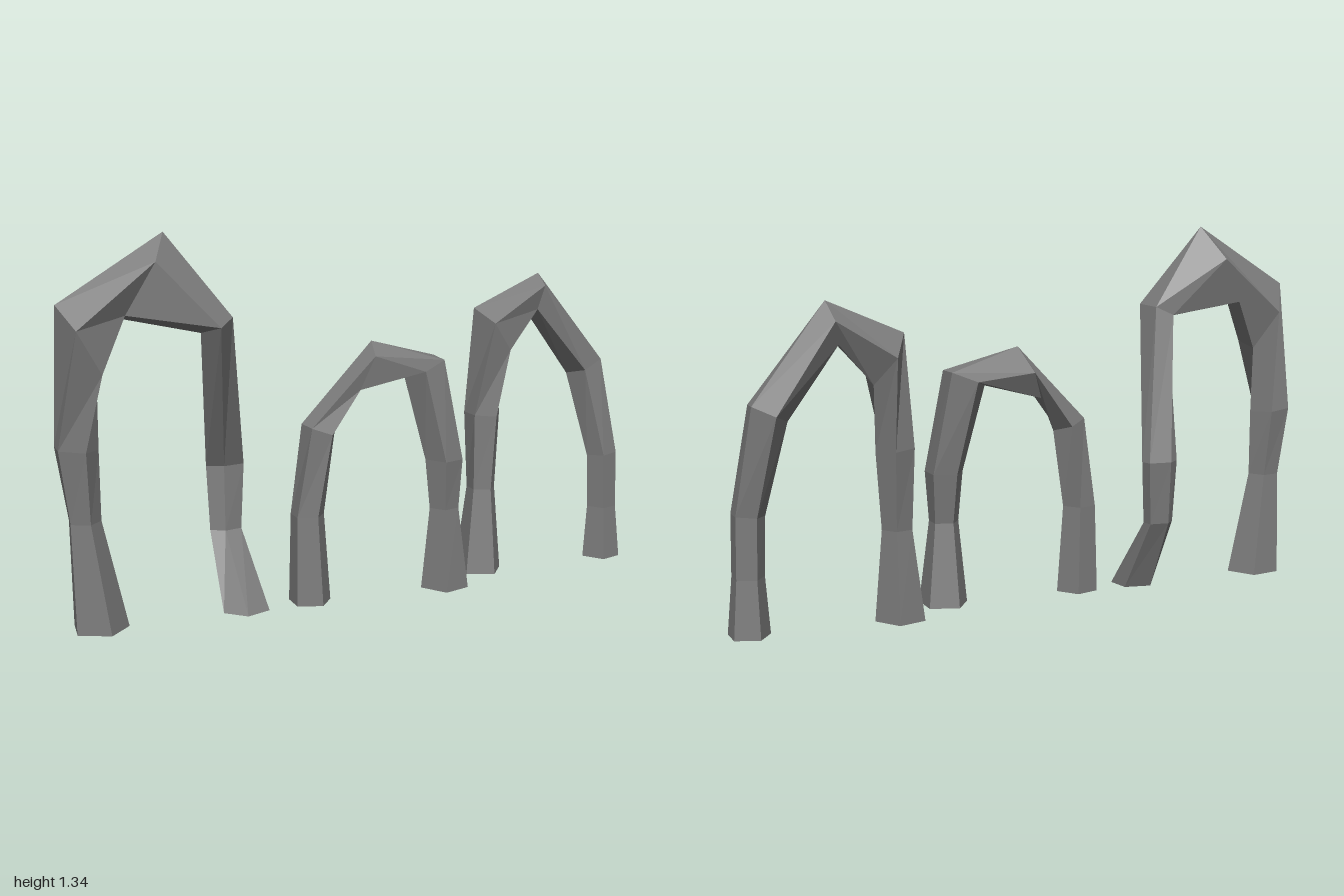
import * as THREE from 'three';

const SIDES = 5;
const material = new THREE.MeshStandardMaterial({ color: 0x7c7c7c, flatShading: true, side: THREE.DoubleSide });

// Sweep a five-sided section through a list of rings, open at both feet.
// Ring: [x, y, z, width radius, depth radius, lean, roll], angles in degrees.
// Lean 0 is the first leg, 90 the crown, 180 the second leg.
function makeArch(name, rings) {
  const first = rings[0], last = rings[rings.length - 1];
  const along = new THREE.Vector3(last[0] - first[0], 0, last[2] - first[2]).normalize();
  const across = new THREE.Vector3(-along.z, 0, along.x);
  const up = new THREE.Vector3(0, 1, 0);

  const positions = [];
  for (const [x, y, z, w, h, lean, roll] of rings) {
    const phi = THREE.MathUtils.degToRad(lean);
    const out = along.clone().multiplyScalar(-Math.cos(phi)).addScaledVector(up, Math.sin(phi));
    for (let k = 0; k < SIDES; k++) {
      const a = THREE.MathUtils.degToRad(roll) + (k / SIDES) * Math.PI * 2;
      const p = new THREE.Vector3(x, y, z)
        .addScaledVector(out, Math.cos(a) * h)
        .addScaledVector(across, Math.sin(a) * w);
      positions.push(p.x, p.y, p.z);
    }
  }

  // Walls between neighbouring rings
  const index = [];
  for (let i = 0; i < rings.length - 1; i++) {
    for (let k = 0; k < SIDES; k++) {
      const a = i * SIDES + k, b = i * SIDES + (k + 1) % SIDES;
      index.push(a, b, b + SIDES, a, b + SIDES, a + SIDES);
    }
  }

  const indexed = new THREE.BufferGeometry();
  indexed.setAttribute('position', new THREE.Float32BufferAttribute(positions, 3));
  indexed.setIndex(index);
  const geometry = indexed.toNonIndexed();
  geometry.computeVertexNormals();
  const mesh = new THREE.Mesh(geometry, material);
  mesh.name = name;
  return mesh;
}

export function createModel() {
  const group = new THREE.Group();
  group.name = 'rockArches';

  // Tall front arch with a pointed crown and a kinked second leg
  group.add(makeArch('frontArch', [
    [-0.495, 0, 0.835, 0.1, 0.1, 0, 28],
    [-0.515, 0.38, 0.875, 0.058, 0.058, 0, 28],
    [-0.525, 0.63, 0.895, 0.078, 0.078, 5, 32],
    [-0.485, 0.985, 0.90, 0.108, 0.15, 60, 65],
    [-0.395, 1.185, 0.705, 0.088, 0.175, 120, 66],
    [-0.235, 1.025, 0.51, 0.09, 0.062, 155, 25],
    [-0.358, 0.49, 0.312, 0.035, 0.073, 180, 30],
    [-0.345, 0.26, 0.33, 0.035, 0.06, 180, 30],
    [-0.205, 0, 0.40, 0.078, 0.085, 180, 30],
  ]));

  // Low middle arch
  group.add(makeArch('middleArch', [
    [-0.075, 0, 0.195, 0.078, 0.078, 0, 36],
    [-0.08, 0.32, 0.2, 0.062, 0.062, 0, 36],
    [-0.047, 0.625, 0.172, 0.068, 0.065, 20, 45],
    [0.025, 0.825, 0.01, 0.082, 0.11, 115, 57],
    [0.14, 0.82, -0.22, 0.095, 0.08, 158, 40],
    [0.217, 0.48, -0.237, 0.08, 0.07, 180, 36],
    [0.225, 0.3, -0.23, 0.057, 0.055, 180, 36],
    [0.225, 0, -0.235, 0.098, 0.09, 180, 36],
  ]));

  // Back arch with a narrow crown
  group.add(makeArch('backArch', [
    [0.228, 0, -0.49, 0.095, 0.09, 0, 34],
    [0.23, 0.32, -0.5, 0.055, 0.055, 0, 34],
    [0.225, 0.6, -0.515, 0.072, 0.07, 5, 38],
    [0.235, 0.91, -0.55, 0.11, 0.11, 55, 62],
    [0.322, 1.04, -0.73, 0.075, 0.08, 105, 62],
    [0.442, 0.755, -0.915, 0.075, 0.075, 155, 42],
    [0.52, 0.41, -0.932, 0.06, 0.06, 175, 36],
    [0.525, 0.2, -0.932, 0.06, 0.058, 180, 36],
    [0.528, 0, -0.93, 0.078, 0.075, 180, 36],
  ]));

  return group;
}
